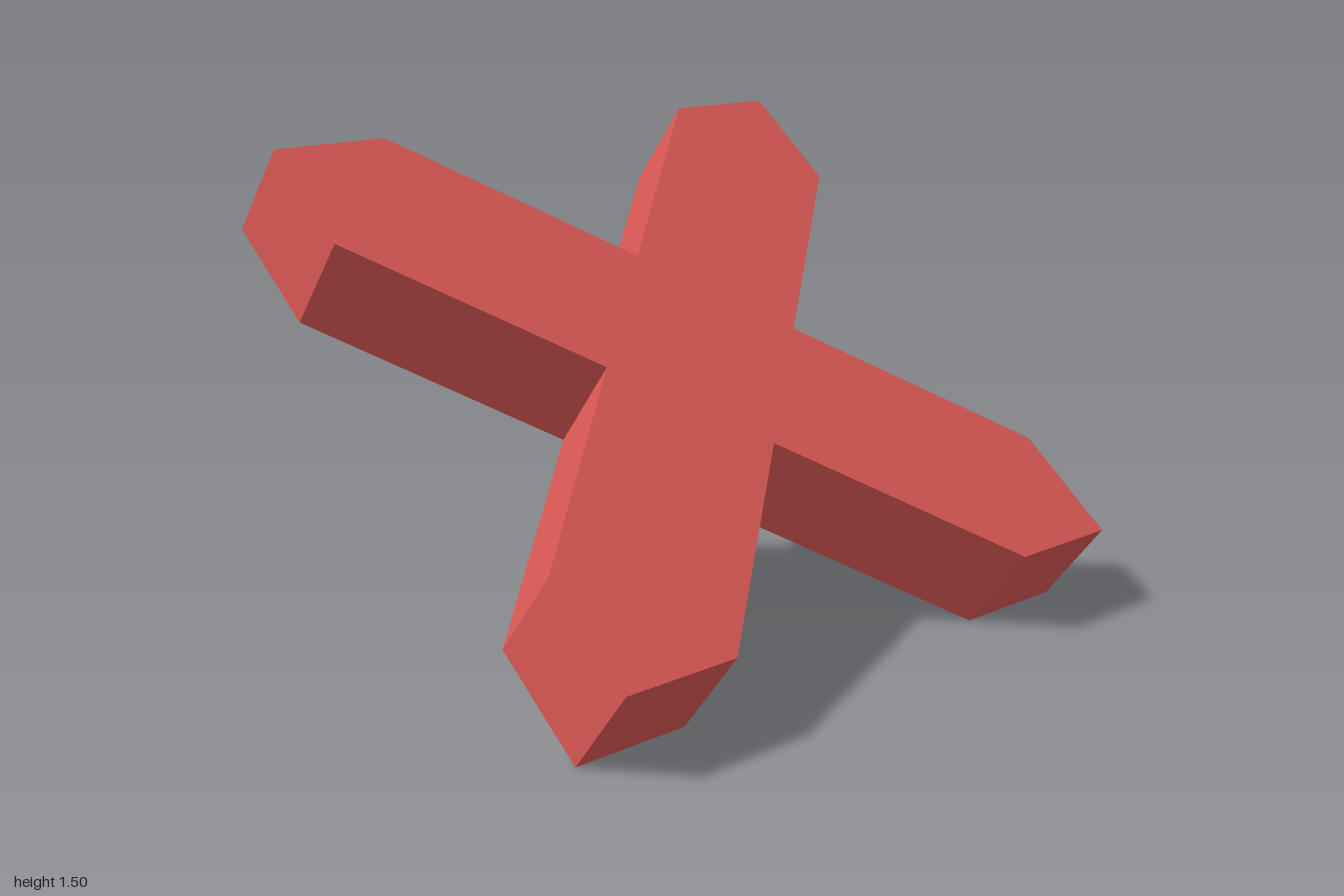
import * as THREE from 'three';

export function createModel() {
  const group = new THREE.Group();
  group.name = 'tiltedCross';
  const red = new THREE.MeshStandardMaterial({ color: 0xd95753 });
  red.name = 'red';

  // X outline: each arm ends in a square corner, with a notch between arms
  const tip = 1, shoulder = 0.61, notch = 0.39, depth = 0.336;
  const points = [];
  for (let i = 0; i < 4; i++) {
    for (const [x, y] of [[tip, shoulder], [tip, tip], [shoulder, tip], [0, notch]]) {
      points.push(new THREE.Vector2(x, y).rotateAround(new THREE.Vector2(), i * Math.PI / 2));
    }
  }
  const geometry = new THREE.ExtrudeGeometry(new THREE.Shape(points), { depth, bevelEnabled: false });
  geometry.translate(0, 0, -depth / 2);

  // Slab leaning backwards, resting on its lower back edge
  const cross = new THREE.Mesh(geometry, red);
  cross.name = 'cross';
  cross.rotation.x = -0.904;
  cross.position.y = Math.cos(0.904) + Math.sin(0.904) * depth / 2;
  group.add(cross);
  return group;
}
